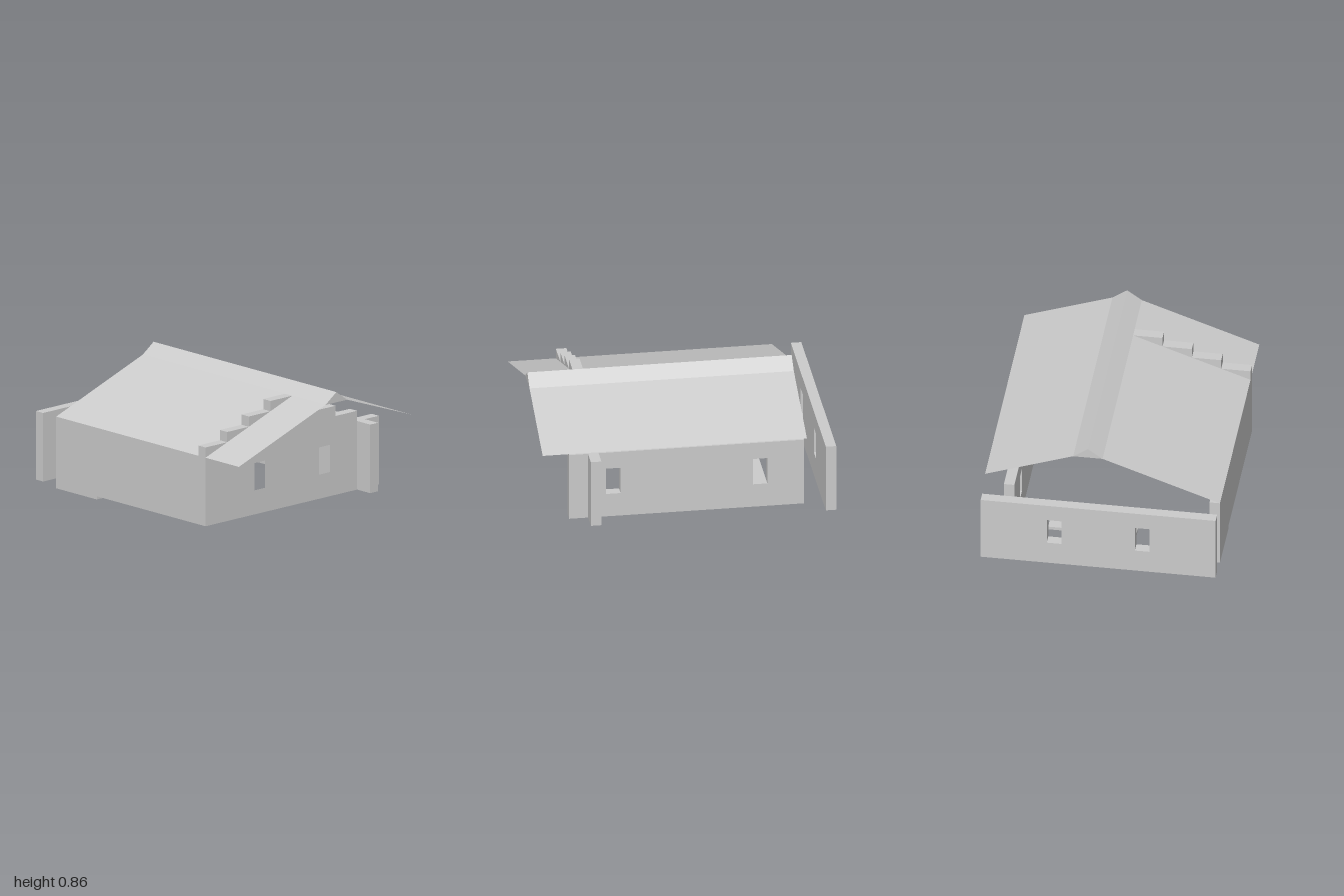
import * as THREE from 'three';

const BASE = 0.022, T = 0.0715; // wall foot height; wall thickness and step height
const material = new THREE.MeshStandardMaterial({ color: 0xcccccc, flatShading: true });
const sheetMaterial = new THREE.MeshStandardMaterial({ color: 0xcccccc, flatShading: true, side: THREE.DoubleSide });

// Extrude a 2D outline along z from z0, with window openings centred at the given positions
function slab(name, points, z0, depth, windows = []) {
  const shape = new THREE.Shape(points.map(([x, y]) => new THREE.Vector2(x, y)));
  for (const c of windows) {
    const corners = [[c - 0.05, 0.19], [c - 0.05, 0.38], [c + 0.05, 0.38], [c + 0.05, 0.19]];
    shape.holes.push(new THREE.Path(corners.map(([x, y]) => new THREE.Vector2(x, y))));
  }
  const geometry = new THREE.ExtrudeGeometry(shape, { depth, bevelEnabled: false });
  geometry.translate(0, 0, z0);
  const mesh = new THREE.Mesh(geometry, material);
  mesh.name = name;
  return mesh;
}

function box(name, [x0, x1], [y0, y1], [z0, z1]) {
  const mesh = new THREE.Mesh(new THREE.BoxGeometry(x1 - x0, y1 - y0, z1 - z0), material);
  mesh.position.set((x0 + x1) / 2, (y0 + y1) / 2, (z0 + z1) / 2);
  mesh.name = name;
  return mesh;
}

// Thin roof sheet between two eave/ridge points, running along z
function roofSheet(name, [xa, ya], [xb, yb], z0, z1) {
  const geometry = new THREE.PlaneGeometry(Math.hypot(xb - xa, yb - ya), z1 - z0);
  geometry.rotateX(-Math.PI / 2);
  geometry.rotateZ(Math.atan2(yb - ya, xb - xa));
  geometry.translate((xa + xb) / 2, (ya + yb) / 2, (z0 + z1) / 2);
  const mesh = new THREE.Mesh(geometry, sheetMaterial);
  mesh.name = name;
  return mesh;
}

export function createModel() {
  const group = new THREE.Group();
  group.name = 'house';

  // Front wall with a stepped gable
  const gable = [[-0.8, BASE]];
  const steps = [1, 2, 3, 4, 3, 2, 1, 0];
  steps.forEach((n, i) => {
    const x = -0.8 + i * 0.2, y = 0.5 + n * T;
    gable.push([x, y], [x + 0.2, y]);
  });
  gable.push([0.8, BASE]);
  group.add(slab('frontWall', gable, 0.6, T, [-0.3, 0.3]));

  // Detached back wall
  const plain = [[-0.8, BASE], [0.8, BASE], [0.8, 0.5], [-0.8, 0.5]];
  group.add(slab('backWall', plain, -1, T, [-0.3, 0.3]));

  // Side walls: the windowed one crosses the front wall, the other is solid
  const side = slab('windowedSideWall', plain, 0, T, [-0.5, 0.5]);
  side.rotation.y = Math.PI / 2;
  side.position.x = 0.6;
  group.add(side);
  group.add(box('solidSideWall', [-0.8, -0.8 + T], [BASE, 0.5], [-0.8, 0.6]));

  // Roof slopes and solid ridge cap
  const ridgeY = 0.5 + 4 * T;
  group.add(roofSheet('rightRoof', [-0.8, 0.5], [0, ridgeY], -0.8, 1));
  group.add(roofSheet('leftRoof', [0.2, ridgeY], [0.8, 0.5 + T], -0.8, 1));
  group.add(slab('ridgeCap', [[0, ridgeY], [0.2, ridgeY], [0.1, ridgeY + T]], -0.8, 1.8));

  // Floor plates
  group.add(box('middleFloorPlate', [-0.2, 0.4], [0, BASE], [-0.6, -0.4]));
  group.add(box('sideFloorPlate', [-0.8, -0.6], [0, BASE], [-0.8, -0.4]));

  return group;
}
